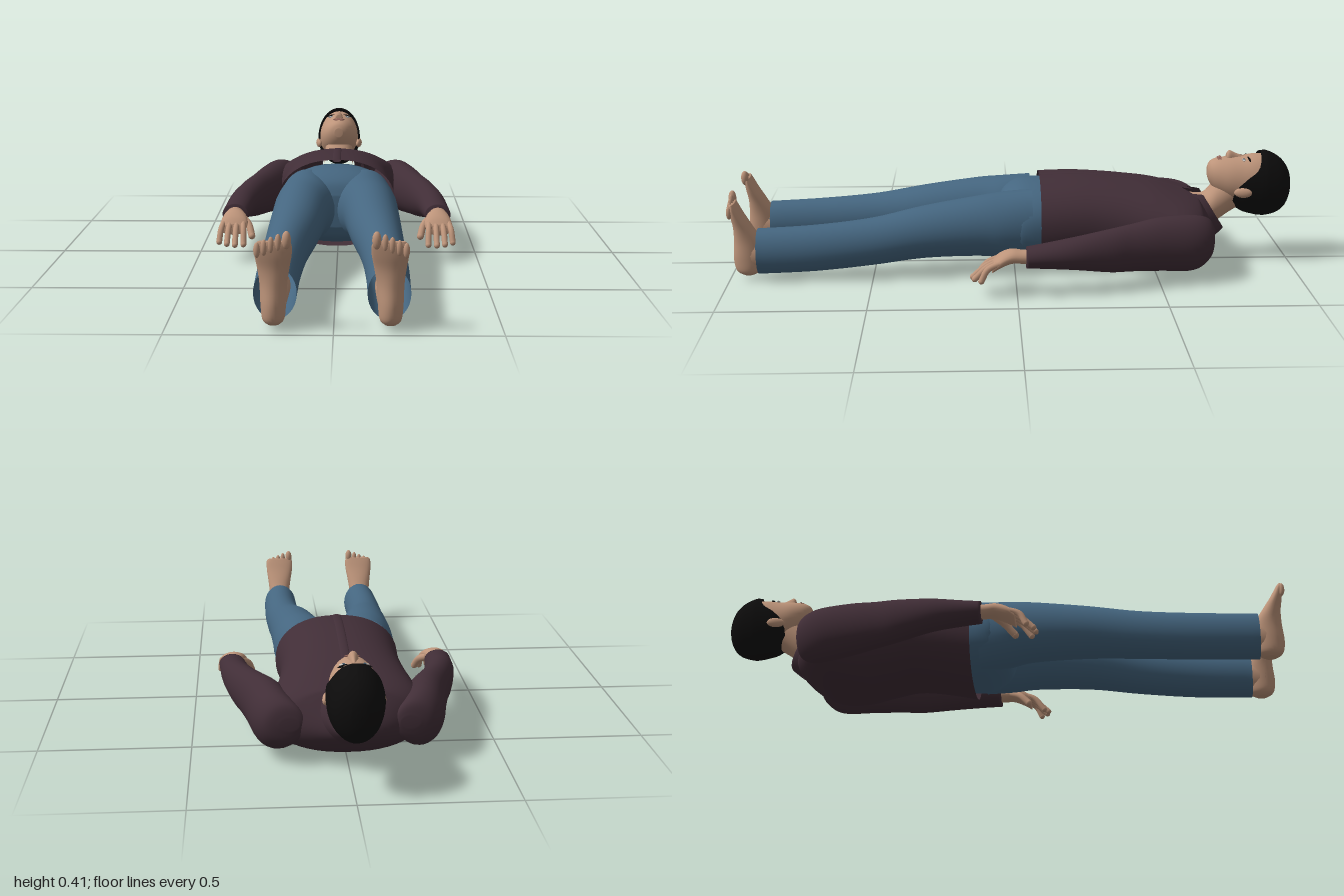
import * as THREE from 'three';

const mat = (name, color, open) => {
  const m = new THREE.MeshStandardMaterial({ color });
  m.name = name;
  if (open) m.side = THREE.DoubleSide;
  return m;
};

// Catmull-Rom value between b and c
const blend = (a, b, c, d, t) => {
  const linear = (c - a) * t;
  const square = (2 * a - 5 * b + 4 * c - d) * t * t;
  const cube = (3 * b - a - 3 * c + d) * t * t * t;
  return 0.5 * (2 * b + linear + square + cube);
};

// Smooth interpolation through a list of equal-length number rows
function smoothRows(rows, steps) {
  const out = [];
  for (let i = 0; i < rows.length - 1; i++) {
    const a = rows[Math.max(i - 1, 0)], b = rows[i], c = rows[i + 1], d = rows[Math.min(i + 2, rows.length - 1)];
    for (let s = 0; s < steps; s++) {
      out.push(b.map((v, k) => blend(a[k], v, c[k], d[k], s / steps)));
    }
  }
  out.push(rows[rows.length - 1]);
  return out;
}

// Loft along z. Section: [z, x, top, bottom, halfWidth, tilt, gap]; gap opens the ring around its top
function loft(sections, { caps = false, power = 1, sides = 32 } = {}) {
  const rows = smoothRows(sections.map(s => [...s, 0, 0].slice(0, 7)), 5);
  const open = sections.some(s => s[6] > 0);
  const n = open ? sides + 1 : sides;
  const pos = [], idx = [];
  const bend = v => Math.sign(v) * Math.pow(Math.abs(v), power);
  for (const [z, x, top, bot, w, tilt, g] of rows) {
    const gap = Math.max(g, 0);
    for (let j = 0; j < n; j++) {
      const a = gap + (2 * Math.PI - 2 * gap) * j / sides;
      const c = bend(Math.cos(a));
      pos.push(x + w * bend(Math.sin(a)), (top + bot) / 2 + (top - bot) / 2 * c, z + tilt * c);
    }
  }
  for (let i = 0; i < rows.length - 1; i++) {
    for (let j = 0; j < sides; j++) {
      const a = i * n + j, b = i * n + (j + 1) % n;
      idx.push(a, a + n, b, b, a + n, b + n);
    }
  }
  if (caps) {
    const last = (rows.length - 1) * n, c = rows.length * n;
    for (const r of [rows[0], rows[rows.length - 1]]) pos.push(r[1], (r[2] + r[3]) / 2, r[0]);
    for (let j = 0; j < sides; j++) {
      idx.push(c, j, (j + 1) % n);
      idx.push(c + 1, last + (j + 1) % n, last + j);
    }
  }
  const geo = new THREE.BufferGeometry();
  geo.setAttribute('position', new THREE.Float32BufferAttribute(pos, 3));
  geo.setIndex(idx);
  geo.computeVertexNormals();
  return geo;
}

export function createModel() {
  const skin = mat('skin', 0xbd947a), lip = mat('lips', 0x94655a), hair = mat('hair', 0x0d0c0c, true);
  const shirt = mat('shirt fabric', 0x412e37, true), denim = mat('denim', 0x456680, true);
  const white = mat('eye white', 0xc9c4be), iris = mat('iris', 0x3d5568);

  const model = new THREE.Group();
  model.name = 'lyingMan';
  const add = (parent, name, geo, m) => {
    const mesh = new THREE.Mesh(geo, m);
    mesh.name = name;
    parent.add(mesh);
    return mesh;
  };
  const blob = (parent, name, m, p, s) => {
    const mesh = add(parent, name, new THREE.SphereGeometry(1, 16, 12), m);
    mesh.position.set(...p);
    mesh.scale.set(...s);
    return mesh;
  };
  const digit = (parent, name, points, r) => {
    const curve = new THREE.CatmullRomCurve3(points.map(p => new THREE.Vector3(...p)));
    add(parent, name, new THREE.TubeGeometry(curve, 10, r, 10), skin);
    blob(parent, name + 'Tip', skin, points[points.length - 1], [r, r, r]);
  };

  // Shirt body, with a V opening at the neck
  const torso = [
    [-0.70, 0, 0.25, 0.125, 0.072, 0.04, 0.8],
    [-0.69, 0, 0.25, 0.09, 0.14, 0.03, 0.36],
    [-0.66, 0, 0.255, 0.045, 0.21, 0.01, 0.17],
    [-0.60, 0, 0.272, 0.014, 0.25, 0, 0],
    [-0.50, 0, 0.30, 0.003, 0.235, 0, 0],
    [-0.40, 0, 0.315, 0.02, 0.215, 0, 0],
    [-0.30, 0, 0.325, 0.036, 0.205, 0, 0],
    [-0.20, 0, 0.33, 0.025, 0.208, 0, 0],
    [-0.09, 0, 0.327, 0.003, 0.217, 0, 0],
  ];
  add(model, 'shirtBody', loft(torso, { power: 0.9, sides: 48 }), shirt);
  const placket = torso.slice(3).map(s => [s[0], 0, s[2] + 0.003, s[2] - 0.008, 0.016]);
  add(model, 'shirtPlacket', loft(placket, { sides: 16 }), shirt);
  add(model, 'collar', loft([
    [-0.712, 0, 0.262, 0.128, 0.066, 0.045, 0.62],
    [-0.715, 0, 0.268, 0.118, 0.078, 0.045, 0.6],
    [-0.675, 0, 0.272, 0.085, 0.108, 0.045, 0.48],
  ]), shirt);

  // Hips of the trousers
  add(model, 'trouserHips', loft([
    [-0.14, 0, 0.305, 0.03, 0.195], [-0.05, 0, 0.305, 0.03, 0.212], [0.0, 0, 0.293, 0.045, 0.205],
    [0.04, 0, 0.265, 0.07, 0.15], [0.06, 0, 0.22, 0.11, 0.08],
  ], { caps: true, power: 0.9 }), denim);

  // Head, neck and upper chest
  const head = new THREE.Group();
  head.name = 'head';
  model.add(head);
  add(head, 'skull', loft([
    [-0.985, 0, 0.32, 0.25, 0.03], [-0.96, 0, 0.365, 0.20, 0.06], [-0.92, 0, 0.39, 0.185, 0.076],
    [-0.87, 0, 0.396, 0.185, 0.08], [-0.82, 0, 0.388, 0.205, 0.078], [-0.77, 0, 0.385, 0.23, 0.072],
    [-0.73, 0, 0.38, 0.26, 0.056], [-0.708, 0, 0.369, 0.29, 0.037], [-0.698, 0, 0.35, 0.315, 0.016],
  ], { caps: true }), skin);
  add(head, 'neck', loft([
    [-0.83, 0, 0.34, 0.21, 0.05], [-0.78, 0, 0.335, 0.18, 0.056], [-0.73, 0, 0.30, 0.145, 0.058],
    [-0.69, 0, 0.255, 0.132, 0.06], [-0.64, 0, 0.252, 0.12, 0.07], [-0.57, 0, 0.262, 0.11, 0.08],
  ]), skin);
  add(head, 'hairCap', loft([
    [-1.0, 0, 0.29, 0.27, 0.008, 0, 0], [-0.995, 0, 0.325, 0.235, 0.03, 0, 0], [-0.978, 0, 0.36, 0.20, 0.058, 0, 0],
    [-0.95, 0, 0.388, 0.178, 0.076, 0, 0], [-0.91, 0, 0.407, 0.167, 0.086, 0, 0], [-0.89, 0, 0.406, 0.168, 0.088, 0, 0],
    [-0.875, 0, 0.405, 0.17, 0.088, 0, 0.9], [-0.83, 0, 0.40, 0.182, 0.087, 0, 1.3],
    [-0.80, 0, 0.395, 0.20, 0.081, 0, 1.65], [-0.785, 0, 0.39, 0.21, 0.077, 0, 2.1],
  ], { caps: false, sides: 40 }), hair);
  blob(head, 'hairCrown', hair, [0, 0.28, -0.994], [0.03, 0.04, 0.006]);
  add(head, 'nose', loft([
    [-0.83, 0, 0.389, 0.35, 0.008], [-0.80, 0, 0.398, 0.35, 0.011],
    [-0.775, 0, 0.409, 0.35, 0.017], [-0.765, 0, 0.397, 0.36, 0.014],
  ], { caps: true, sides: 16 }), skin);
  blob(head, 'upperLip', lip, [0, 0.382, -0.743], [0.024, 0.005, 0.004]);
  blob(head, 'lowerLip', lip, [0, 0.38, -0.736], [0.019, 0.005, 0.004]);

  // Paired parts, built once for each side
  for (const s of [1, -1]) {
    const side = new THREE.Group();
    side.name = s > 0 ? 'leftSide' : 'rightSide';
    side.scale.x = s;
    model.add(side);

    // Face details
    blob(side, 'eye', white, [0.032, 0.38, -0.823], [0.014, 0.004, 0.006]);
    blob(side, 'iris', iris, [0.032, 0.3825, -0.823], [0.005, 0.003, 0.005]);
    blob(side, 'eyebrow', hair, [0.034, 0.383, -0.842], [0.019, 0.004, 0.0035]).rotation.set(0, 0.12, -0.25);
    blob(side, 'ear', skin, [0.084, 0.272, -0.815], [0.011, 0.018, 0.032]).rotation.y = -0.2;

    // Sleeve
    add(side, 'sleeve', loft([
      [-0.695, 0.19, 0.165, 0.125, 0.03], [-0.68, 0.205, 0.21, 0.075, 0.066], [-0.62, 0.234, 0.235, 0.04, 0.074],
      [-0.50, 0.262, 0.238, 0.048, 0.072], [-0.40, 0.294, 0.226, 0.058, 0.063], [-0.32, 0.322, 0.217, 0.065, 0.058],
      [-0.20, 0.352, 0.20, 0.085, 0.053], [-0.10, 0.364, 0.183, 0.095, 0.049], [-0.03, 0.371, 0.172, 0.10, 0.046],
    ], { caps: true }), shirt);

    // Hand, palm down
    add(side, 'palm', loft([
      [-0.09, 0.367, 0.165, 0.11, 0.03], [-0.02, 0.37, 0.162, 0.115, 0.031], [0.02, 0.366, 0.164, 0.115, 0.04],
      [0.06, 0.366, 0.147, 0.10, 0.049], [0.085, 0.368, 0.122, 0.085, 0.044],
    ], { caps: true, sides: 20 }), skin);
    [0.135, 0.15, 0.144, 0.122].forEach((reach, i) => {
      const x = 0.334 + i * 0.023, out = (i - 1) * 0.006;
      digit(side, 'finger', [[x, 0.127, 0.055], [x + out * 0.6, 0.107, 0.1], [x + out, 0.062 + i * 0.002, reach]], 0.0105);
    });
    digit(side, 'thumb', [[0.34, 0.135, 0.01], [0.315, 0.115, 0.045], [0.302, 0.08, 0.078]], 0.0125);

    // Trouser leg
    add(side, 'trouserLeg', loft([
      [-0.06, 0.106, 0.298, 0.045, 0.10], [0.04, 0.11, 0.29, 0.052, 0.109], [0.13, 0.123, 0.28, 0.064, 0.098],
      [0.32, 0.138, 0.25, 0.063, 0.088], [0.50, 0.158, 0.214, 0.045, 0.074], [0.70, 0.169, 0.193, 0.028, 0.068],
      [0.90, 0.17, 0.182, 0.02, 0.065],
    ]), denim);

    // Foot, sole turned to the front
    add(side, 'ankle', loft([
      [0.80, 0.17, 0.15, 0.045, 0.042], [0.90, 0.172, 0.155, 0.035, 0.04], [0.95, 0.172, 0.16, 0.03, 0.036],
    ], { caps: true, sides: 24 }), skin);
    const foot = loft([
      [0.018, 0.173, -0.915, -0.955, 0.018], [0.035, 0.173, -0.89, -0.978, 0.033], [0.08, 0.173, -0.88, -0.986, 0.038],
      [0.14, 0.172, -0.885, -0.982, 0.041], [0.19, 0.171, -0.915, -0.982, 0.047], [0.235, 0.17, -0.945, -0.989, 0.054],
      [0.265, 0.169, -0.963, -0.992, 0.054], [0.28, 0.167, -0.972, -0.99, 0.046],
    ], { caps: true, sides: 24 });
    foot.rotateX(-Math.PI / 2);
    add(side, 'foot', foot, skin);
    for (let i = 0; i < 5; i++) {
      const r = i ? 0.0098 : 0.0135;
      blob(side, 'toe', skin, [i ? 0.134 + i * 0.0205 : 0.13, 0.284 - i * 0.0075, 0.986], [r, 0.027 - i * 0.001, r]);
    }
  }

  model.position.x = -0.005;
  const root = new THREE.Group();
  root.name = 'figure';
  root.add(model);
  return root;
}
